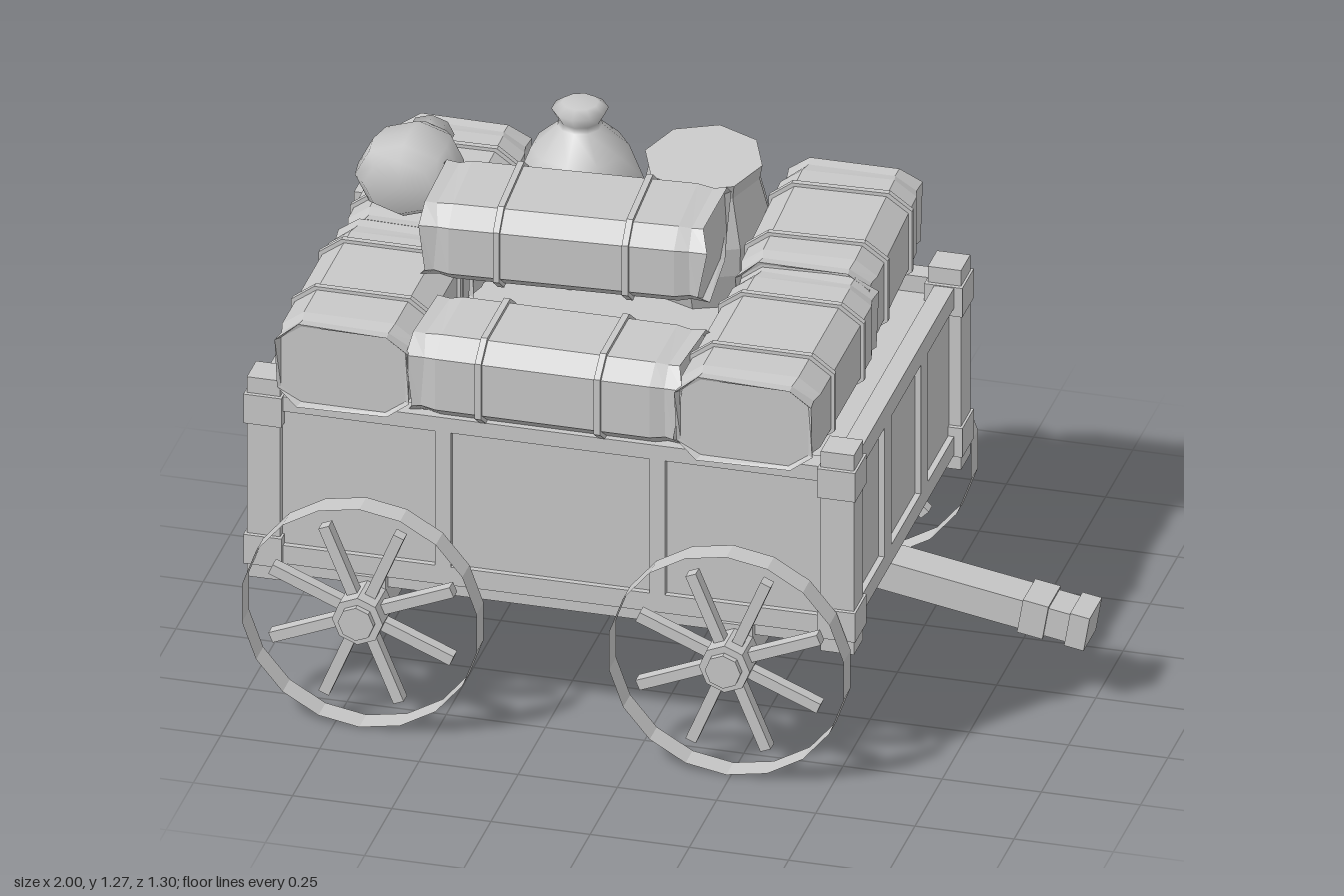
import * as THREE from 'three';

const grey = new THREE.MeshStandardMaterial({ color: 0xc8c8c8 });
grey.name = 'grey';
grey.side = THREE.DoubleSide;

function flat(geo) {
  const g = geo.index ? geo.toNonIndexed() : geo;
  g.computeVertexNormals();
  return g;
}

function add(parent, name, geo, x = 0, y = 0, z = 0) {
  const mesh = new THREE.Mesh(geo, grey);
  mesh.name = name;
  mesh.position.set(x, y, z);
  parent.add(mesh);
  return mesh;
}

// Box given by its lower and upper corner
function block(parent, name, [x0, y0, z0], [x1, y1, z1]) {
  return add(parent, name, new THREE.BoxGeometry(x1 - x0, y1 - y0, z1 - z0),
    (x0 + x1) / 2, (y0 + y1) / 2, (z0 + z1) / 2);
}

// Loft of a chamfered rectangle along z; stations are [z, scale, raggedness]
function loft(w, h, cx, cy, stations) {
  const a = w / 2, b = h / 2;
  const section = [[a, -b + cy], [a, b - cy], [a - cx, b], [-a + cx, b],
    [-a, b - cy], [-a, -b + cy], [-a + cx, -b], [a - cx, -b]];
  const rings = stations.map(([z, s, r], i) => section.map(([x, y], j) =>
    [x * s, y * s, z + r * Math.sin(j * 2.6 + i * 1.7)]));
  const out = [];
  const n = section.length, last = rings.length - 1;
  for (let j = 0; j < n; j++) {
    const k = (j + 1) % n;
    for (let i = 0; i < last; i++) {
      const p = rings[i][j], q = rings[i][k], r = rings[i + 1][k], s = rings[i + 1][j];
      out.push(...p, ...q, ...r, ...p, ...r, ...s);
    }
    out.push(0, 0, stations[0][0], ...rings[0][k], ...rings[0][j]);
    out.push(0, 0, stations[last][0], ...rings[last][j], ...rings[last][k]);
  }
  const g = new THREE.BufferGeometry();
  g.setAttribute('position', new THREE.Float32BufferAttribute(out, 3));
  g.computeVertexNormals();
  return g;
}

// Cloth bundle lying along its own z, with ragged frilled ends and two straps
function bundle(parent, x, y, z, w, h, len, turn, straps) {
  const g = new THREE.Group();
  g.name = 'bundle';
  const e = len / 2;
  add(g, 'bundleCloth', loft(w, h, 0.055, 0.04, [
    [-e + 0.012, 0.92, 0], [-e, 0.98, 0.012], [-e + 0.035, 0.95, 0.006], [-e + 0.07, 1, 0],
    [e - 0.07, 1, 0], [e - 0.035, 0.95, 0.006], [e, 0.98, 0.012], [e - 0.012, 0.92, 0]]));
  for (const s of straps) {
    add(g, 'strap', loft(w + 0.018, h + 0.018, 0.058, 0.043,
      [[s - 0.008, 1, 0], [s + 0.008, 1, 0]]));
  }
  g.position.set(x, y, z);
  g.rotation.y = turn;
  parent.add(g);
}

function lathe(points, sides) {
  return new THREE.LatheGeometry(points.map(([r, y]) => new THREE.Vector2(r, y)), sides);
}

function wheel(x, side) {
  const g = new THREE.Group();
  g.name = 'wheel';
  // Thin open hoop
  const rim = add(g, 'rim', flat(new THREE.CylinderGeometry(0.3, 0.3, 0.066, 18, 1, true)));
  rim.rotation.x = Math.PI / 2;
  // Hub barrel and end nut
  for (const [r, z0, z1] of [[0.064, -0.05, 0.05], [0.045, 0.05, 0.066]]) {
    const hub = add(g, 'hub', flat(new THREE.CylinderGeometry(r, r, z1 - z0, 8)), 0, 0, (z0 + z1) / 2);
    hub.rotation.x = Math.PI / 2;
  }
  for (let i = 0; i < 8; i++) {
    const a = (i + (side > 0 ? 0.5 : 0)) * Math.PI / 4;
    const spoke = add(g, 'spoke', new THREE.BoxGeometry(0.2, 0.028, 0.032),
      Math.cos(a) * 0.147, Math.sin(a) * 0.147, 0);
    spoke.rotation.z = a;
  }
  g.position.set(x, 0.3, side * 0.585);
  if (side < 0) g.rotation.y = Math.PI;
  return g;
}

export function createModel() {
  const model = new THREE.Group();
  model.name = 'cargoWagon';

  // Wagon box: floor, cargo deck and walls
  const body = new THREE.Group();
  body.name = 'wagonBox';
  model.add(body);
  block(body, 'floor', [-0.96, 0.38, -0.48], [0.5, 0.41, 0.48]);
  block(body, 'cargoDeck', [-0.94, 0.76, -0.48], [0.48, 0.79, 0.48]);
  for (const s of [-1, 1]) {
    const span = (a, b) => s > 0 ? [a, b] : [-b, -a];
    const [w0, w1] = span(0.475, 0.515), [f0, f1] = span(0.51, 0.53);
    block(body, 'sideWall', [-0.96, 0.34, w0], [0.5, 0.835, w1]);
    block(body, 'sideTopRail', [-0.93, 0.795, f0], [0.47, 0.835, f1]);
    block(body, 'sideBottomRail', [-0.93, 0.375, f0], [0.47, 0.425, f1]);
    for (const x of [-0.5, 0.04]) {
      block(body, 'sideBatten', [x - 0.02, 0.425, f0], [x + 0.02, 0.795, f1]);
    }
    // End walls, framed into three panels
    const mid = -0.228;
    const [e0, e1] = span(0.70, 0.735).map(v => v + mid), [p0, p1] = span(0.73, 0.75).map(v => v + mid);
    block(body, 'endWall', [e0, 0.375, -0.5], [e1, 0.835, 0.5]);
    block(body, 'endTopRail', [p0, 0.78, -0.48], [p1, 0.835, 0.48]);
    block(body, 'endBottomRail', [p0, 0.375, -0.48], [p1, 0.425, 0.48]);
    for (const z of [-0.1675, 0.1675]) {
      block(body, 'endBatten', [p0, 0.425, z - 0.0325], [p1, 0.78, z + 0.0325]);
    }
    // Corner posts with wider bands
    for (const t of [-1, 1]) {
      const x = mid + s * 0.723, z = t * 0.492;
      add(body, 'cornerPost', new THREE.BoxGeometry(0.084, 0.55, 0.084), x, 0.605, z);
      for (const y of [0.797, 0.41]) {
        add(body, 'postBand', new THREE.BoxGeometry(0.096, 0.08, 0.106), x, y, z);
      }
    }
  }

  // Undercarriage: lengthwise rails, axles and bolsters
  for (const z of [-0.33, 0.33]) {
    block(model, 'underRail', [-0.93, 0.318, z - 0.047], [0.47, 0.385, z + 0.047]);
  }
  for (const x of [-0.687, 0.238]) {
    block(model, 'axle', [x - 0.045, 0.268, -0.54], [x + 0.045, 0.375, 0.54]);
    for (const s of [-1, 1]) model.add(wheel(x, s));
  }

  // Sloping draw pole with banded tip
  const pole = new THREE.Group();
  pole.name = 'drawPole';
  add(pole, 'poleBeam', new THREE.BoxGeometry(0.75, 0.078, 0.1), 0.375);
  add(pole, 'poleBand', new THREE.BoxGeometry(0.065, 0.092, 0.114), 0.615);
  add(pole, 'poleTip', new THREE.BoxGeometry(0.05, 0.092, 0.114), 0.728);
  pole.position.set(0.25, 0.328, 0);
  pole.rotation.z = -0.168;
  model.add(pole);

  // Bundles: two columns, one across the front side, one on top
  const cargo = new THREE.Group();
  cargo.name = 'cargo';
  model.add(cargo);
  bundle(cargo, -0.74, 0.945, -0.285, 0.335, 0.225, 0.57, 0.02, [-0.14, 0.15]);
  bundle(cargo, -0.745, 0.945, 0.28, 0.34, 0.225, 0.57, 0, [-0.16, 0.09]);
  bundle(cargo, 0.245, 0.953, -0.3, 0.34, 0.235, 0.56, 0.04, [-0.13, 0.13]);
  bundle(cargo, 0.268, 0.945, 0.265, 0.35, 0.225, 0.61, 0, [-0.14, 0.13]);
  bundle(cargo, -0.24, 0.943, 0.41, 0.31, 0.22, 0.68, Math.PI / 2, [-0.16, 0.14]);
  bundle(cargo, -0.285, 1.157, 0.097, 0.335, 0.205, 0.7, Math.PI / 2 + 0.06, [-0.16, 0.16]);

  // Tied sacks, one standing and one lying down
  const sackProfile = [[0, 0], [0.1, 0], [0.145, 0.06], [0.163, 0.16], [0.155, 0.26],
    [0.12, 0.35], [0.055, 0.41], [0.052, 0.425], [0.07, 0.455], [0.045, 0.472], [0, 0.472]];
  add(cargo, 'standingSack', lathe(sackProfile, 10), -0.4, 0.785, -0.365);
  const lying = add(cargo, 'lyingSack', lathe([[0, 0], [0.09, 0], [0.122, 0.04], [0.13, 0.1],
    [0.115, 0.18], [0.075, 0.24], [0.04, 0.27], [0.058, 0.3], [0, 0.305]], 8), -0.755, 1.16, 0.005);
  lying.rotation.x = -Math.PI / 2;
  lying.scale.z = 0.8;

  // Bulging basket with flat top, leaning slightly to the front side
  const basket = add(cargo, 'basket', flat(lathe([[0, 0], [0.135, 0], [0.165, 0.12], [0.17, 0.2],
    [0.14, 0.33], [0.148, 0.37], [0, 0.37]], 8)), -0.085, 0.785, -0.39);
  basket.rotation.x = 0.1;

  return model;
}
